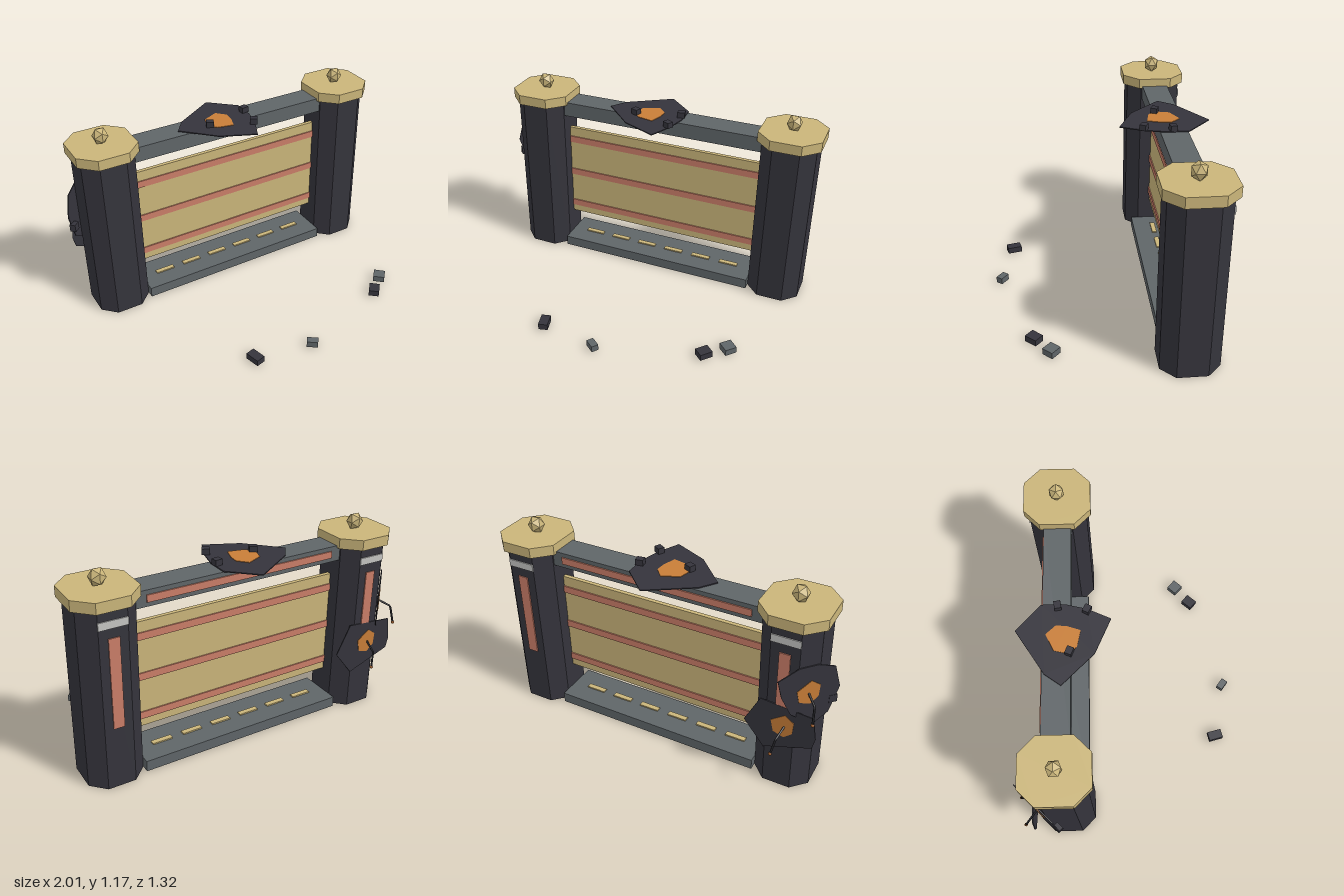
import * as THREE from 'three';

const mat = (name, color) => {
  const m = new THREE.MeshStandardMaterial({ color });
  m.name = name;
  return m;
};

export function createModel() {
  const charcoal = mat('charcoal', 0x35343c);
  const steel = mat('steel grey', 0x5f6568);
  const gold = mat('pale gold', 0xcab57a);
  const rust = mat('terracotta', 0xca7d68);
  const ember = mat('ember orange', 0xc87e38);
  const white = mat('off white', 0xc4c4c2);
  const black = mat('cable black', 0x222226);
  const copper = mat('copper', 0x9a5a28);

  const model = new THREE.Group();
  const add = (parent, name, geometry, material, x = 0, y = 0, z = 0) => {
    const mesh = new THREE.Mesh(geometry, material);
    mesh.name = name;
    mesh.position.set(x, y, z);
    parent.add(mesh);
    return mesh;
  };
  const box = (parent, name, material, w, h, d, x, y, z) =>
    add(parent, name, new THREE.BoxGeometry(w, h, d), material, x, y, z);

  // Flat outline extruded along +z
  const plate = (points, depth) => new THREE.ExtrudeGeometry(
    new THREE.Shape(points.map(([x, y]) => new THREE.Vector2(x, y))),
    { depth, bevelEnabled: false });

  // Upright block with chamfered corners
  const octagon = (hx, hz, c, height) => plate([
    [hx, -hz + c], [hx, hz - c], [hx - c, hz], [-hx + c, hz],
    [-hx, hz - c], [-hx, -hz + c], [-hx + c, -hz], [hx - c, -hz],
  ], height).rotateX(-Math.PI / 2);

  const Z = -0.387;   // depth centre of the gate
  const MID = 0.0265; // centre between the pillars
  const SPAN = 1.26;

  // Pillars with caps, finials and rear inlays
  for (const [name, x] of [['rightPillar', -0.7625], ['leftPillar', 0.8155]]) {
    const pillar = new THREE.Group();
    pillar.name = name;
    pillar.position.set(x, 0, Z);
    model.add(pillar);
    add(pillar, 'shaft', octagon(0.158, 0.165, 0.08, 1.02), charcoal);
    add(pillar, 'cap', octagon(0.182, 0.19, 0.092, 0.06), gold, 0, 1.02, 0);
    const finial = add(pillar, 'finial', new THREE.IcosahedronGeometry(0.047, 0), gold, 0, 1.122, 0);
    finial.scale.y = 1.1;
    box(pillar, 'rearStrip', rust, 0.06, 0.51, 0.008, 0, 0.615, -0.167);
    box(pillar, 'rearPlaque', white, 0.158, 0.042, 0.008, 0, 0.944, -0.167);
  }

  // Beam and its rear inlay
  box(model, 'topBeam', steel, SPAN, 0.09, 0.156, MID, 0.987, Z);
  box(model, 'beamStrip', rust, 1.14, 0.04, 0.008, MID, 0.987, Z - 0.081);

  // Sill with gold treads
  box(model, 'sill', steel, SPAN, 0.063, 0.262, MID, 0.0315, Z);
  for (let i = 0; i < 6; i++) {
    box(model, 'tread', gold, 0.12, 0.008, 0.03, MID + (i - 2.5) * 0.189, 0.067, Z);
  }

  // Hanging panel with raised bands
  box(model, 'panel', gold, SPAN, 0.625, 0.024, MID, 0.5225, Z);
  for (const y of [0.278, 0.516, 0.752]) {
    box(model, 'panelBand', rust, SPAN, 0.042, 0.038, MID, y, Z);
  }

  // Scorched breach: dark jagged plate, glowing core
  const breach = (name, outline, core) => {
    const g = new THREE.Group();
    g.name = name;
    model.add(g);
    add(g, 'scorchPlate', plate(outline, 0.006), charcoal);
    add(g, 'glowingCore', plate(core, 0.003), ember, 0, 0, 0.006);
    return g;
  };
  const core = [[0.01, 0.075], [0.06, 0.04], [0.055, -0.03], [0.01, -0.07], [-0.05, -0.05], [-0.065, 0.02]];

  // Breach on the beam, local y pointing to the back
  const top = breach('topBreach',
    [[0.01, 0.61], [0.16, 0.47], [0.16, 0.34], [0.13, 0.22], [0.07, 0.09],
      [-0.13, 0.18], [-0.305, 0.36], [-0.24, 0.45]],
    [[-0.015, 0.445], [0.035, 0.39], [0.03, 0.33], [0.005, 0.255], [-0.09, 0.275],
      [-0.13, 0.32], [-0.11, 0.4]]);
  top.rotation.x = -Math.PI / 2;
  top.position.y = 1.034;
  for (const [x, z, turn] of [[-0.12, -0.315, -0.4], [0.145, -0.38, 0.15], [0.12, -0.22, -0.5]]) {
    box(model, 'beamDebris', charcoal, 0.044, 0.034, 0.038, x, 1.057, z).rotation.y = turn;
  }

  // Breach on the rear face of the right pillar
  const rear = breach('rearBreach',
    [[-0.13, 0.135], [0.16, 0.11], [0.18, -0.02], [0.165, -0.085], [-0.1, -0.18], [-0.215, -0.035]],
    core);
  rear.rotation.y = Math.PI;
  rear.position.set(-0.78, 0.42, -0.553);

  // Breach on the chamfered rear corner of the right pillar
  const corner = breach('cornerBreach',
    [[-0.17, 0.105], [-0.06, 0.16], [0.04, 0.165], [0.135, 0.135], [0.17, 0.005],
      [0.12, -0.15], [0.04, -0.21], [-0.09, -0.12], [-0.146, 0]],
    core);
  corner.rotation.y = -Math.PI * 0.75;
  corner.position.set(-0.884, 0.65, -0.514);
  box(corner, 'cornerDebris', charcoal, 0.045, 0.045, 0.035, 0.14, -0.07, -0.01);

  // Bent cables with copper tips
  const cables = [
    [[-0.79, 0.42, -0.555], [-0.775, 0.385, -0.635], [-0.757, 0.297, -0.652]],
    [[-0.885, 0.65, -0.515], [-0.94, 0.615, -0.565], [-0.947, 0.518, -0.592]],
  ];
  for (const points of cables) {
    const p = points.map((a) => new THREE.Vector3(...a));
    const path = new THREE.CurvePath();
    path.add(new THREE.LineCurve3(p[0], p[1]));
    path.add(new THREE.LineCurve3(p[1], p[2]));
    add(model, 'cable', new THREE.TubeGeometry(path, 12, 0.006, 6), black);
    add(model, 'cableTip', new THREE.SphereGeometry(0.01, 8, 6), copper, ...points[2]);
  }

  // Rubble on the ground in front
  for (const [x, z, w, d, turn, material] of [
    [-0.335, 0.555, 0.055, 0.088, 0.25, charcoal],
    [0.01, 0.622, 0.065, 0.042, -0.65, steel],
    [0.612, 0.433, 0.063, 0.077, -0.73, charcoal],
    [0.725, 0.34, 0.07, 0.07, -0.75, steel],
  ]) {
    box(model, 'rubble', material, w, 0.038, d, x, 0.024, z).rotation.y = turn;
  }

  return model;
}
